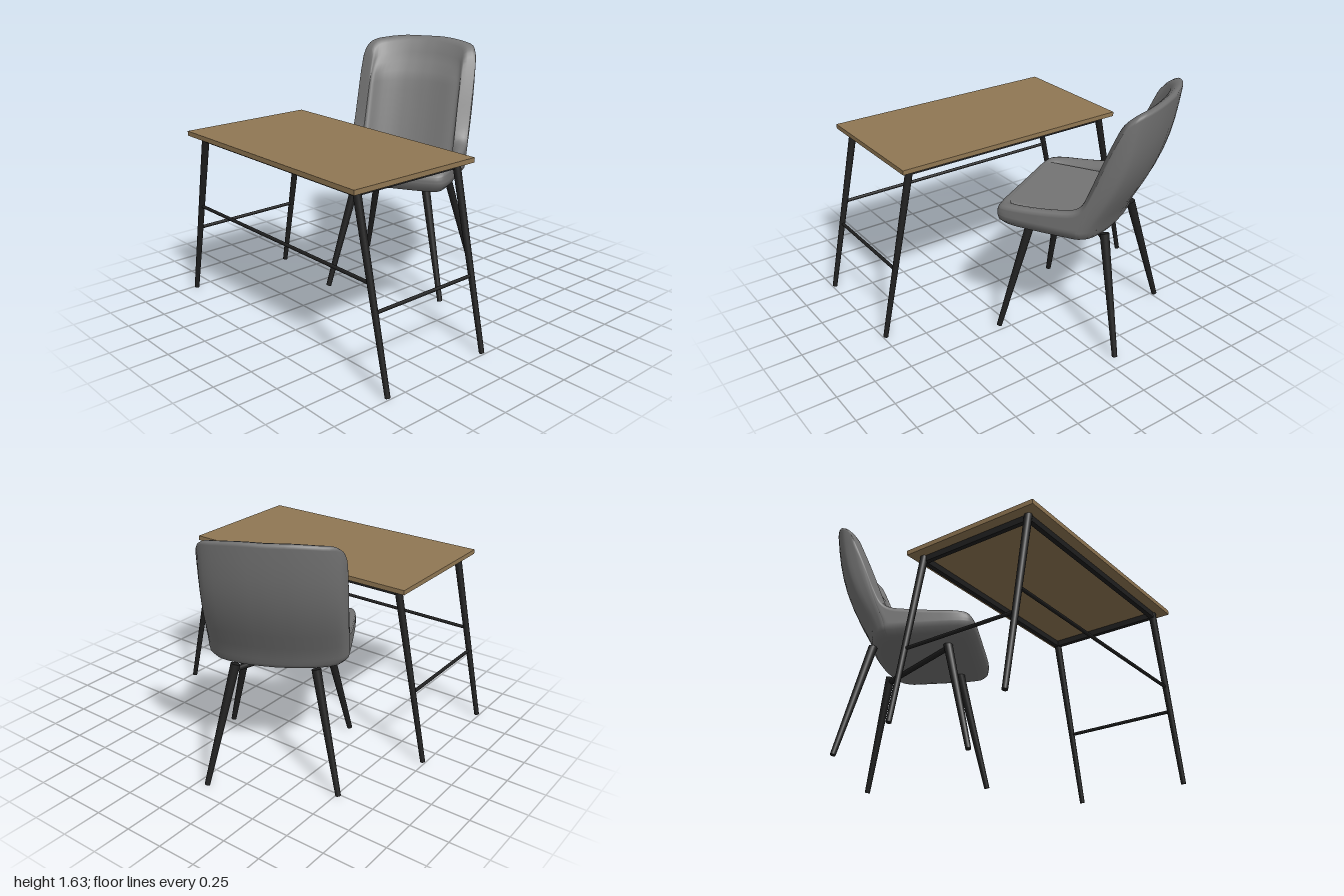
import * as THREE from 'three';

const { lerp, smoothstep, degToRad } = THREE.MathUtils;
const mat = (name, color, extra = {}) => new THREE.MeshStandardMaterial({ name, color, ...extra });

function mesh(name, geometry, material, parent) {
  const m = new THREE.Mesh(geometry, material);
  m.name = name;
  parent.add(m);
  return m;
}

// Tapered round bar from point a to point b
function bar(name, a, b, ra, rb, material, parent) {
  const A = new THREE.Vector3(...a), B = new THREE.Vector3(...b);
  const dir = B.clone().sub(A);
  const m = mesh(name, new THREE.CylinderGeometry(rb, ra, dir.length(), 16), material, parent);
  m.position.copy(A).add(B).multiplyScalar(0.5);
  m.quaternion.setFromUnitVectors(new THREE.Vector3(0, 1, 0), dir.normalize());
  return m;
}

// Half outline of the seat shell, front centre to back centre: x, z, rim height
const OUTLINE = [
  [0, 0.43, 0.885], [0.16, 0.43, 0.886], [0.32, 0.425, 0.892], [0.395, 0.405, 0.90],
  [0.42, 0.34, 0.908], [0.427, 0.18, 0.92], [0.427, 0.03, 0.938], [0.425, -0.07, 0.96],
  [0.424, -0.11, 1.00], [0.422, -0.125, 1.10], [0.42, -0.13, 1.28], [0.418, -0.14, 1.46],
  [0.41, -0.155, 1.55], [0.38, -0.195, 1.597], [0.30, -0.235, 1.615], [0.15, -0.27, 1.63],
  [0, -0.28, 1.63],
];
const MID_Z = 0.05;
const lean = (y) => -0.36 * Math.max(0, y - 0.85);

function shellGeometry() {
  const curve = new THREE.CatmullRomCurve3(OUTLINE.map(([x, z, h]) => new THREE.Vector3(x, h, z)));
  const half = curve.getPoints(48);
  const mirrored = half.slice(1, -1).reverse().map((p) => new THREE.Vector3(-p.x, p.y, p.z));
  const loop = [...half, ...mirrored];
  // Each section runs from the underside, up the outside, over the rim and down the inside
  const section = ({ x, y: h, z }) => {
    const pts = [];
    const put = (s, y, push = 0) => pts.push([x * s, y, MID_Z + (z - MID_Z) * s + lean(y) + push]);
    put(0, 0.75); put(0.8, 0.752); put(0.92, 0.765); put(0.985, 0.795);
    const top = h - 0.025;
    const rear = smoothstep(-z, 0.1, 0.2);
    for (let i = 0; i <= 8; i++) {
      // the outside of the backrest swells at mid height
      const swell = rear * Math.sin((Math.PI * i) / 8);
      put(1 + 0.02 * swell, lerp(0.825, top, i / 8), -0.05 * swell);
    }
    put(0.985, h - 0.008); put(0.94, h); put(0.87, h - 0.006); put(0.81, h - 0.03);
    const back = smoothstep(-z, 0.14, 0.25);
    const start = h - 0.045, floor = Math.min(start, 0.85);
    for (let i = 1; i <= 12; i++) {
      const y = lerp(start, floor, i / 12);
      // soft back pad with a fold near its top
      put(0.79, y, back * 0.05 * (1 - smoothstep(y, 1.38, 1.5)));
    }
    put(0, 0.85);
    return pts;
  };
  const sections = loop.map(section);
  const n = sections.length, k = sections[0].length;
  const idx = [];
  for (let u = 0; u < n; u++) {
    for (let v = 0; v < k - 1; v++) {
      const a = u * k + v, b = ((u + 1) % n) * k + v;
      idx.push(a, b, b + 1, a, b + 1, a + 1);
    }
  }
  const g = new THREE.BufferGeometry();
  g.setAttribute('position', new THREE.Float32BufferAttribute(sections.flat(2), 3));
  g.setIndex(idx);
  g.computeVertexNormals();
  return g;
}

// Rounded seat pad lying inside the shell
function cushionGeometry() {
  const w = 0.315, f = 0.375, b = -0.2, r = 0.05;
  const s = new THREE.Shape();
  s.moveTo(-w + r, -f);
  s.lineTo(w - r, -f);
  s.quadraticCurveTo(w, -f, w, -f + r);
  s.lineTo(w, -b);
  s.lineTo(-w, -b);
  s.lineTo(-w, -f + r);
  s.quadraticCurveTo(-w, -f, -w + r, -f);
  const g = new THREE.ExtrudeGeometry(s, {
    depth: 0.03, bevelThickness: 0.022, bevelSize: 0.025, bevelSegments: 4, curveSegments: 6,
  });
  return g.rotateX(-Math.PI / 2).translate(0, 0.838, 0);
}

function buildChair(fabric, metal) {
  const chair = new THREE.Group();
  chair.name = 'chair';
  mesh('seatShell', shellGeometry(), fabric, chair);
  mesh('seatCushion', cushionGeometry(), fabric, chair);
  // Splayed legs and the diagonal brace under the seat
  const t = 0.24, foot = 0.4;
  for (const sx of [-1, 1])
    for (const sz of [-1, 1])
      bar('chairLeg', [sx * foot, 0.008, sz * foot], [sx * t, 0.765, sz * t], 0.017, 0.029, metal, chair);
  bar('seatBrace', [t, 0.73, -t], [-t, 0.73, t], 0.017, 0.017, metal, chair);
  chair.position.set(-0.225, 0, -0.365);
  chair.rotation.y = degToRad(29);
  return chair;
}

function buildTable(wood, metal) {
  const table = new THREE.Group();
  table.name = 'table';
  const zBack = 0.113, zFront = 0.866, zMid = (zBack + zFront) / 2;
  mesh('tableTop', new THREE.BoxGeometry(1.64, 0.03, 0.904), wood, table).position.set(0, 1.146, 0.497);
  // Frame rails under the top
  for (const z of [zBack, zFront])
    mesh('longRail', new THREE.BoxGeometry(1.48, 0.038, 0.03), metal, table).position.set(0, 1.112, z);
  const legX = (y) => 0.984 - 0.244 * (y / 1.13);
  for (const s of [-1, 1]) {
    mesh('shortRail', new THREE.BoxGeometry(0.03, 0.038, 0.75), metal, table).position.set(s * 0.735, 1.112, zMid);
    for (const z of [zBack, zFront])
      bar('tableLeg', [s * legX(0), 0.004, z], [s * legX(1.13), 1.13, z], 0.016, 0.024, metal, table);
    bar('sideStretcher', [s * legX(0.47), 0.47, zBack], [s * legX(0.47), 0.47, zFront], 0.011, 0.011, metal, table);
  }
  bar('frontStretcher', [-legX(0.63), 0.63, zFront], [legX(0.63), 0.63, zFront], 0.011, 0.011, metal, table);
  return table;
}

export function createModel() {
  const fabric = mat('grey fabric', 0x747474, { side: THREE.DoubleSide });
  const metal = mat('black metal', 0x1f1f1f);
  const wood = mat('brown wood', 0x907753);
  const model = new THREE.Group();
  model.name = 'deskAndChair';
  model.add(buildTable(wood, metal), buildChair(fabric, metal));
  return model;
}
